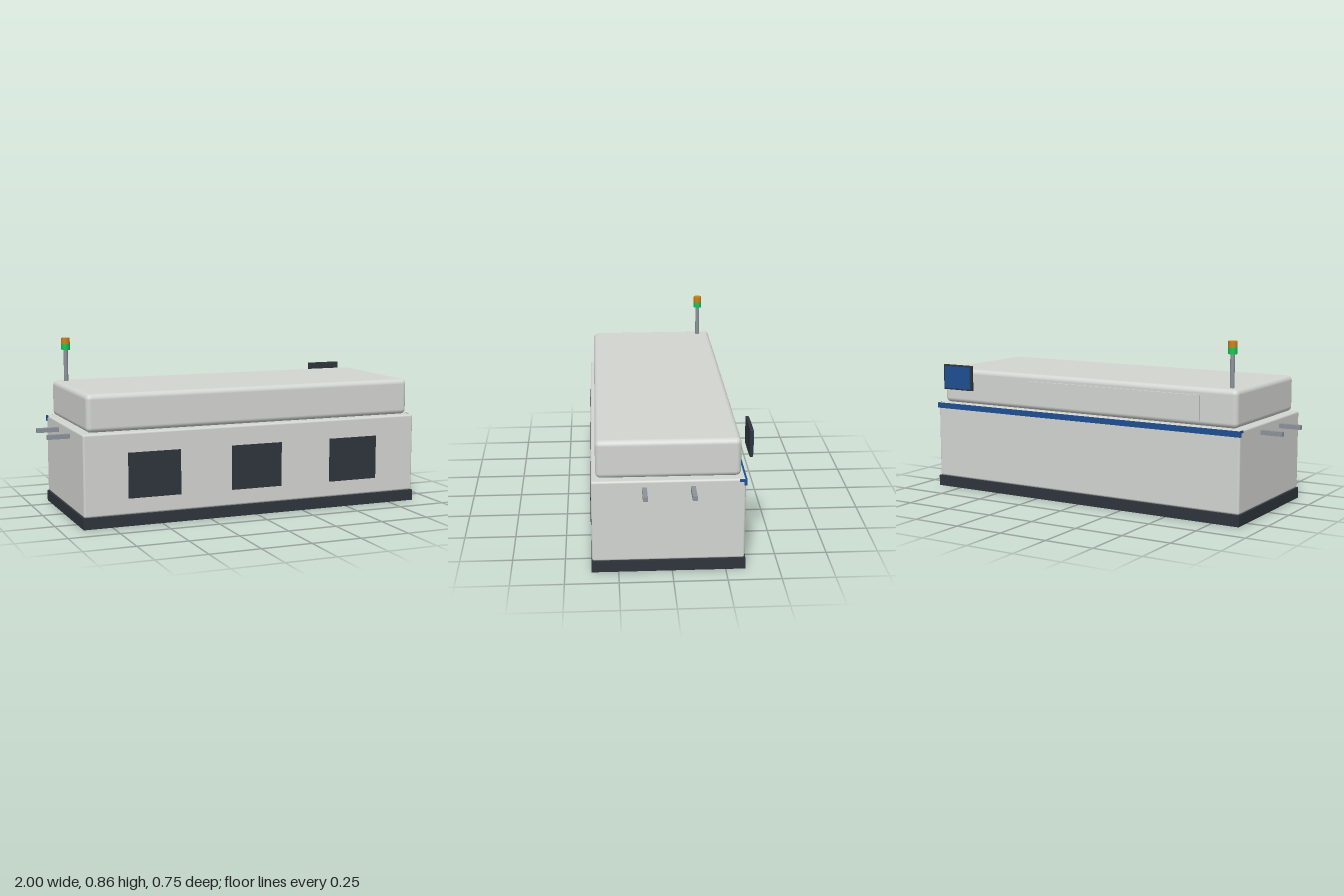
import * as THREE from 'three';
import { RoundedBoxGeometry } from 'three/addons/geometries/RoundedBoxGeometry.js';

const material = (name, color) => {
  const m = new THREE.MeshStandardMaterial({ color });
  m.name = name;
  return m;
};

export function createModel() {
  const shell = material('shell grey', 0xd3d5d1);
  const dark = material('charcoal', 0x2e353c);
  const blue = material('blue', 0x1d4f91);
  const metal = material('metal grey', 0x8b939a);
  const amber = material('amber', 0xc98218);
  const green = material('green', 0x16c455);

  const model = new THREE.Group();
  model.name = 'machine';

  const add = (name, geometry, mat, parent = model) => {
    const mesh = new THREE.Mesh(geometry, mat);
    mesh.name = name;
    parent.add(mesh);
    return mesh;
  };
  // Box given by its limits on each axis, with optional rounded edges
  const box = (name, mat, [x0, x1], [y0, y1], [z0, z1], radius = 0, parent = model) => {
    const size = [x1 - x0, y1 - y0, z1 - z0];
    const geometry = radius
      ? new RoundedBoxGeometry(...size, 4, radius)
      : new THREE.BoxGeometry(...size);
    const mesh = add(name, geometry, mat, parent);
    mesh.position.set((x0 + x1) / 2, (y0 + y1) / 2, (z0 + z1) / 2);
    return mesh;
  };

  // Plinth, cabinet and upper cover
  box('plinth', dark, [-0.892, 0.892], [0, 0.055], [-0.342, 0.376]);
  box('cabinet', shell, [-0.888, 0.888], [0.055, 0.455], [-0.337, 0.372], 0.01);
  box('cover', shell, [-0.862, 0.862], [0.457, 0.64], [-0.317, 0.35], 0.025);
  box('rearHatch', shell, [-0.67, 0.31], [0.483, 0.605], [-0.326, -0.31]);

  // Three dark front panels
  for (const x of [-0.535, 0, 0.535])
    box('frontPanel', dark, [x - 0.133, x + 0.133], [0.135, 0.357], [0.368, 0.377]);

  // Angled trim along the rear top edge
  const section = new THREE.Shape([
    [0.307, 0.443], [0.328, 0.443], [0.328, 0.425],
    [0.342, 0.425], [0.342, 0.453], [0.307, 0.453],
  ].map(([x, y]) => new THREE.Vector2(x, y)));
  const trim = new THREE.ExtrudeGeometry(section, { depth: 1.784, bevelEnabled: false });
  trim.translate(0, 0, -0.892).rotateY(Math.PI / 2);
  add('rearTrim', trim, blue);

  // Conveyor rails sticking out at both ends
  for (const side of [-1, 1])
    for (const z of [0.128, -0.095]) {
      const rail = box('rail', metal, [0.88, 1], [0.403, 0.425], [z - 0.011, z + 0.011]);
      rail.position.x *= side;
    }

  // Monitor facing the rear
  const monitor = new THREE.Group();
  monitor.name = 'monitor';
  model.add(monitor);
  box('monitorCase', dark, [0.638, 0.822], [0.535, 0.667], [-0.373, -0.357], 0.003, monitor);
  box('monitorScreen', blue, [0.648, 0.812], [0.543, 0.659], [-0.376, -0.37], 0, monitor);

  // Signal tower
  const tower = new THREE.Group();
  tower.name = 'signalTower';
  tower.position.set(-0.803, 0, -0.249);
  model.add(tower);
  const drum = (name, mat, radius, y0, y1) => {
    const mesh = add(name, new THREE.CylinderGeometry(radius, radius, y1 - y0, 24), mat, tower);
    mesh.position.y = (y0 + y1) / 2;
  };
  drum('pole', metal, 0.011, 0.635, 0.8);
  drum('greenLamp', green, 0.022, 0.8, 0.83);
  drum('amberLamp', amber, 0.022, 0.83, 0.861);

  return model;
}
